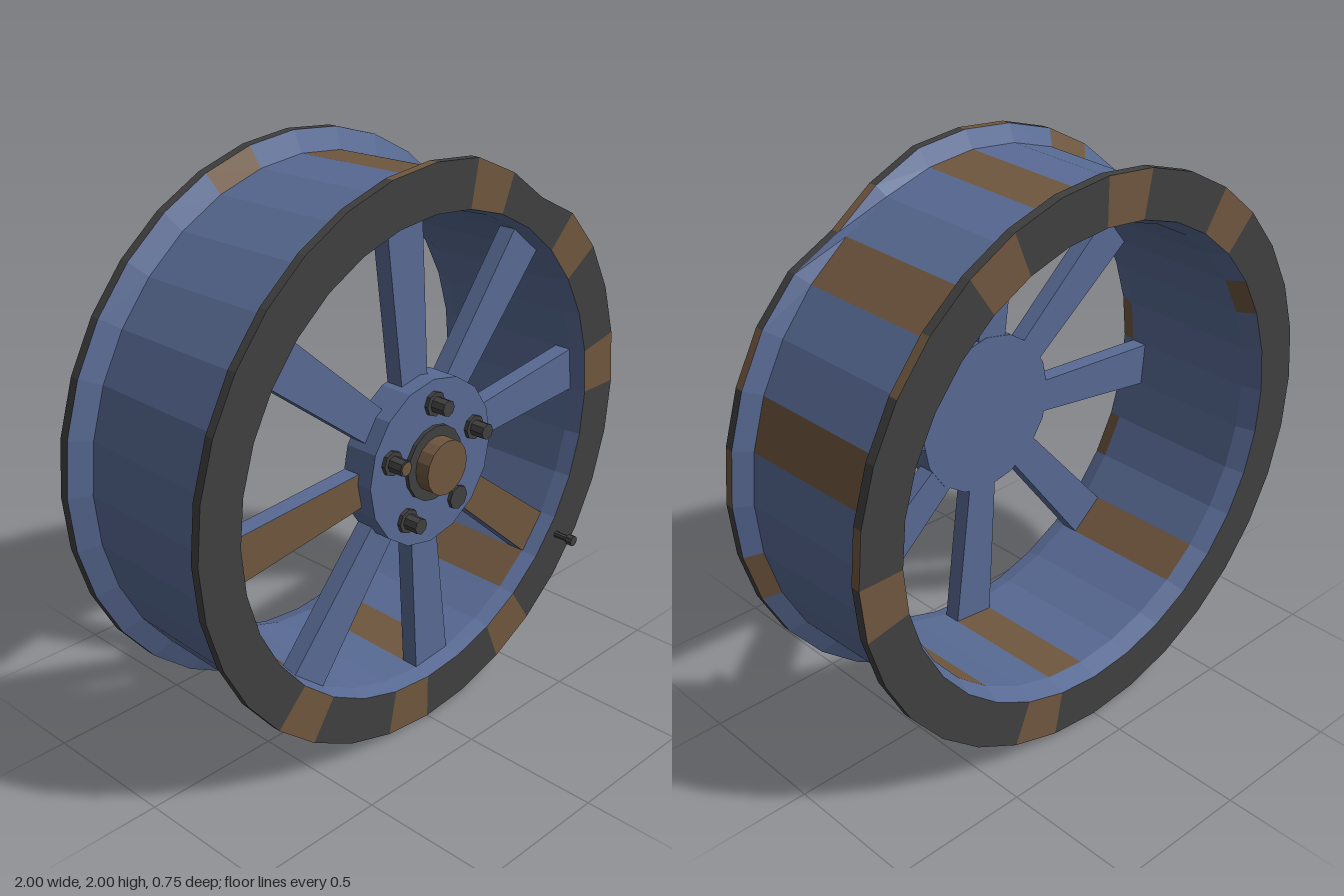
import * as THREE from 'three';

const SIDES = 32;
const STEP = (Math.PI * 2) / SIDES;

const paint = (name, color) => {
  const m = new THREE.MeshStandardMaterial({ color });
  m.name = name;
  m.flatShading = true;
  return m;
};

// bent part of the front flange: share of the radius lost at each corner index
const DENT = { 4: 0.01, 5: 0.052, 6: 0.025 };

function corner([r, z], k) {
  const bent = r > 0.96 && z > 0.2 ? r * (1 - (DENT[k % SIDES] ?? 0)) : r;
  return [bent * Math.cos(k * STEP), bent * Math.sin(k * STEP), z];
}

// faceted ring between two profile points, with some facets in the rust colour
function band(name, a, b, base, rust, rusty) {
  const pos = [];
  const geo = new THREE.BufferGeometry();
  for (let k = 0; k < SIDES; k++) {
    const a0 = corner(a, k), a1 = corner(a, k + 1);
    const b0 = corner(b, k), b1 = corner(b, k + 1);
    pos.push(...a0, ...b0, ...b1, ...a0, ...b1, ...a1);
    geo.addGroup(k * 6, 6, rusty.includes(k) ? 1 : 0);
  }
  geo.setAttribute('position', new THREE.Float32BufferAttribute(pos, 3));
  geo.computeVertexNormals();
  const mesh = new THREE.Mesh(geo, [base, rust]);
  mesh.name = name;
  return mesh;
}

// cylinder along z between two depths
function disc(name, r, z0, z1, sides, mat, x = 0, y = 0) {
  const geo = new THREE.CylinderGeometry(r, r, z1 - z0, sides).rotateX(Math.PI / 2);
  const mesh = new THREE.Mesh(geo, mat);
  mesh.position.set(x, y, (z0 + z1) / 2);
  mesh.name = name;
  return mesh;
}

export function createModel() {
  const blue = paint('blue paint', 0x586a94);
  const dark = paint('dark metal', 0x404040);
  const rust = paint('rust brown', 0x70573f);

  const wheel = new THREE.Group();
  wheel.name = 'wheel';
  wheel.position.y = 1;

  // rim: closed profile, from the front opening over the outside and back through the inside
  const rim = new THREE.Group();
  rim.name = 'rim';
  const bands = [
    ['frontFace', [0.837, 0.292], dark, [0, 3, 6, 20, 23, 26]],
    ['frontEdge', [1, 0.292], dark, [0, 2, 5, 8, 26]],
    ['frontCone', [1, 0.26], blue, [10, 13, 16, 30]],
    ['barrelOutside', [0.942, 0.225], blue, [1, 4, 7, 24]],
    ['backCone', [0.927, -0.305], blue, [9, 27, 29]],
    ['backEdge', [1, -0.34], dark, [0, 3]],
    ['backFace', [1, -0.375], dark, [5, 8, 11, 25, 31]],
    ['backLip', [0.837, -0.375], blue, [13]],
    ['barrelInside', [0.812, -0.305], blue, [7, 10, 20, 24, 27]],
    ['frontLip', [0.823, 0.235], blue, [12, 15, 18]],
  ];
  bands.forEach(([name, from, mat, rusty], i) => {
    const to = bands[(i + 1) % bands.length][1];
    rim.add(band(name, from, to, mat, rust, rusty));
  });
  wheel.add(rim);

  // eight spokes, widening towards the rim; two have a rusty front
  const outline = new THREE.Shape([
    new THREE.Vector2(0.2, -0.058),
    new THREE.Vector2(0.825, -0.08),
    new THREE.Vector2(0.825, 0.08),
    new THREE.Vector2(0.2, 0.058),
  ]);
  const depth = 0.063;
  const spokeGeo = new THREE.ExtrudeGeometry(outline, { depth, bevelEnabled: false });
  const frontGeo = new THREE.ShapeGeometry(outline).translate(0, 0, depth + 0.002);
  for (let i = 0; i < 8; i++) {
    const spoke = new THREE.Group();
    spoke.name = 'spoke';
    spoke.add(new THREE.Mesh(spokeGeo, blue));
    if (i === 4 || i === 7) {
      const front = new THREE.Mesh(frontGeo, rust);
      front.name = 'rustySpokeFront';
      spoke.add(front);
    }
    spoke.position.z = 0.172;
    spoke.rotation.z = (i * Math.PI) / 4 + STEP / 2;
    wheel.add(spoke);
  }

  // hub and centre cap
  wheel.add(
    disc('hub', 0.293, 0.17, 0.293, 16, blue),
    disc('capRing', 0.132, 0.28, 0.307, 16, dark),
    disc('centreCap', 0.096, 0.29, 0.36, 16, rust),
  );

  // five bolts; one has lost its head
  for (let i = 0; i < 5; i++) {
    const a = Math.PI / 2 + (i * Math.PI * 2) / 5;
    const x = 0.21 * Math.cos(a), y = 0.21 * Math.sin(a);
    wheel.add(disc('boltWasher', 0.043, 0.28, 0.307, 8, dark, x, y));
    if (i !== 3) {
      wheel.add(disc('boltHead', 0.028, 0.3, 0.36, 8, dark, x, y));
      if (i === 1) wheel.add(disc('boltTip', 0.022, 0.358, 0.362, 8, rust, x, y));
    }
  }

  // valve
  wheel.add(
    disc('valveStem', 0.012, 0.28, 0.355, 8, dark, 0.71, -0.54),
    disc('valveCap', 0.02, 0.35, 0.375, 8, dark, 0.71, -0.54),
  );

  const model = new THREE.Group();
  model.add(wheel);
  return model;
}
